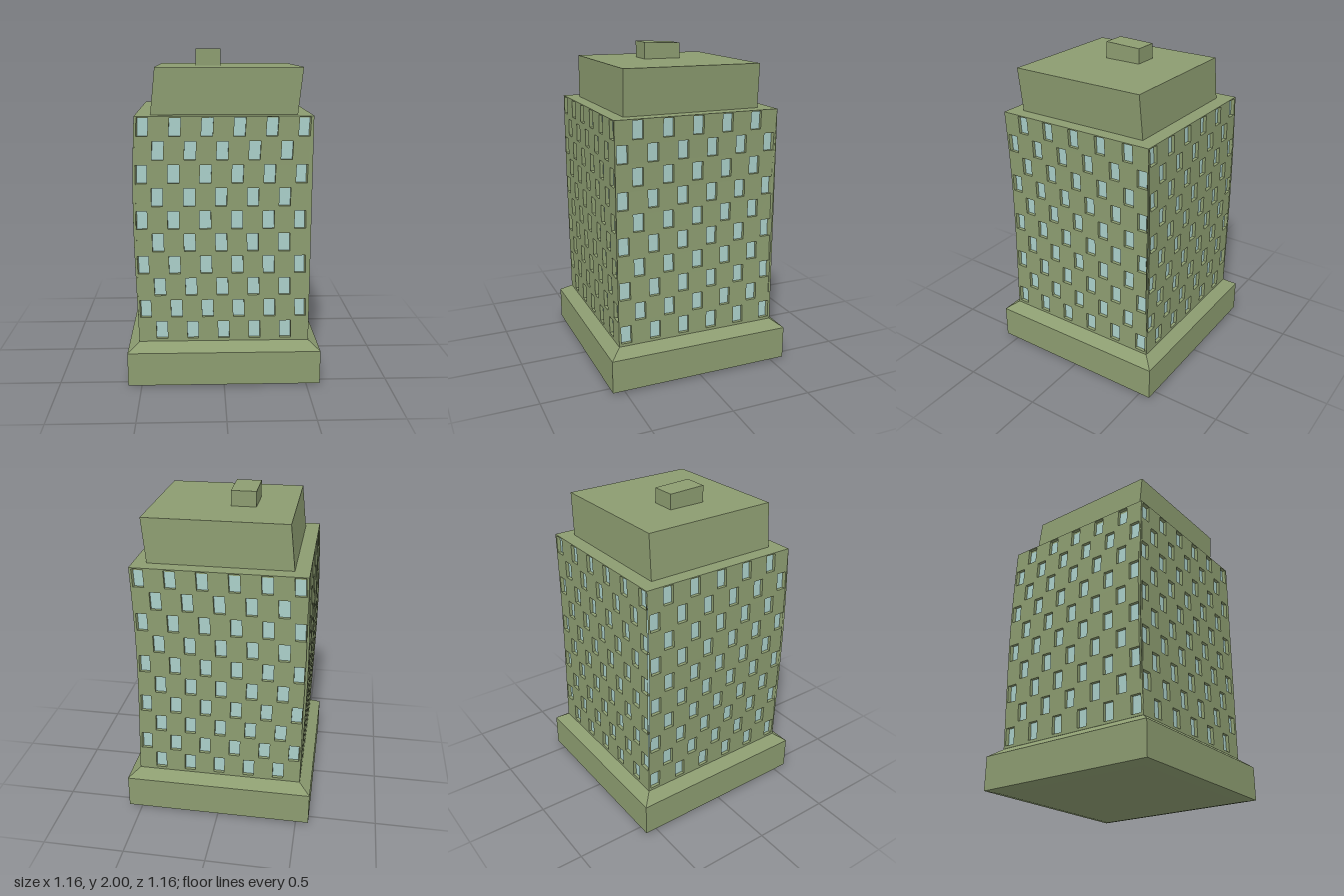
import * as THREE from 'three';

const stone = new THREE.MeshStandardMaterial({ color: 0x8c9c70 });
const blue = new THREE.MeshStandardMaterial({ color: 0xaacfc9 });

const Y0 = 0.27, Y1 = 1.63, HALF = 0.512, DEPTH = 0.02, ROWS = 10;

// Moves every vertex by a rule, then recomputes flat normals
function reshape(geometry, rule) {
  const g = geometry.index ? geometry.toNonIndexed() : geometry;
  const p = g.attributes.position, v = new THREE.Vector3();
  for (let i = 0; i < p.count; i++) {
    rule(v.fromBufferAttribute(p, i));
    p.setXYZ(i, v.x, v.y, v.z);
  }
  g.computeVertexNormals();
  return g;
}

// The tower bows gently sideways between base and terrace
function sway(v) {
  const t = THREE.MathUtils.clamp((v.y - Y0) / (Y1 - Y0), 0, 1);
  v.x -= 0.018 * Math.sin(Math.PI * Math.pow(t, 1.25));
  v.z += 0.006 * t * t;
}

function part(name, geometry, material = stone) {
  const mesh = new THREE.Mesh(geometry, material);
  mesh.name = name;
  return mesh;
}

// Block between a lower and an upper rectangle, each [xMin, xMax, zMin, zMax]
function block(low, high, y0, y1, backDrop = 0) {
  return reshape(new THREE.BoxGeometry(1, 1, 1), (v) => {
    const r = v.y > 0 ? high : low;
    const y = v.y > 0 ? y1 - (v.z < 0 ? backDrop : 0) : y0;
    v.set(v.x < 0 ? r[0] : r[1], y, v.z < 0 ? r[2] : r[3]);
  });
}

// Wall panel pierced by staggered windows; oddRows says which rows hold six
function wall(angle, sixOnOdd) {
  const outline = [];
  for (let i = 0; i <= 20; i++) outline.push(new THREE.Vector2(HALF, Y0 + (Y1 - Y0) * i / 20));
  for (let i = 20; i >= 0; i--) outline.push(new THREE.Vector2(-HALF, Y0 + (Y1 - Y0) * i / 20));
  const shape = new THREE.Shape(outline);
  for (let row = 0; row < ROWS; row++) {
    const count = (row % 2 === 1) === sixOnOdd ? 6 : 5;
    const y = 0.341 + row * 0.1364;
    for (let i = 0; i < count; i++) {
      const x = (i - (count - 1) / 2) * 0.186, w = 0.033, h = 0.054;
      shape.holes.push(new THREE.Path([
        new THREE.Vector2(x - w, y - h), new THREE.Vector2(x - w, y + h),
        new THREE.Vector2(x + w, y + h), new THREE.Vector2(x + w, y - h),
      ]));
    }
  }
  const g = new THREE.ExtrudeGeometry(shape, { depth: DEPTH, bevelEnabled: false });
  const inner = HALF - DEPTH, up = new THREE.Vector3(0, 1, 0);
  return reshape(g, (v) => {
    // mitre the rear edge so neighbouring walls meet at the corners
    if (v.z < DEPTH / 2) v.x = THREE.MathUtils.clamp(v.x, -inner, inner);
    v.z += inner;
    v.applyAxisAngle(up, angle);
    sway(v);
  });
}

export function createModel() {
  const model = new THREE.Group();
  model.name = 'towerBlock';

  // Plinth with sloped shoulder and chamfered underside
  const profile = [[0, 0], [0.515, 0], [0.58, 0.014], [0.58, 0.22], [0.51, Y0], [0, Y0]]
    .map(([r, y]) => new THREE.Vector2(r * Math.SQRT2, y));
  model.add(part('plinth', reshape(new THREE.LatheGeometry(profile, 4, Math.PI / 4), () => {})));

  // Four walls, the window stagger alternating from side to side
  const tower = new THREE.Group();
  tower.name = 'tower';
  ['frontWall', 'leftWall', 'backWall', 'rightWall'].forEach((name, i) => {
    tower.add(part(name, wall(i * Math.PI / 2, i % 2 === 0)));
  });

  // Glass core behind the window openings
  const inner = 2 * (HALF - DEPTH);
  const core = new THREE.BoxGeometry(inner, Y1 - Y0 - 0.02, inner, 1, 20, 1);
  core.translate(0, (Y0 + Y1) / 2, 0);
  tower.add(part('windowGlass', reshape(core, sway), blue));

  // Terrace closing the top of the walls
  const terrace = new THREE.BoxGeometry(inner, 0.02, inner);
  terrace.translate(0, Y1 - 0.01, 0);
  tower.add(part('terrace', reshape(terrace, sway)));
  model.add(tower);

  // Leaning penthouse and small rooftop hut
  model.add(part('penthouse',
    block([-0.424, 0.43, -0.416, 0.436], [-0.395, 0.458, -0.408, 0.442], Y1, 1.9, 0.004)));
  model.add(part('rooftopHut',
    block([-0.162, -0.01, -0.1, 0.134], [-0.162, -0.01, -0.1, 0.134], 1.89, 2, 0.01)));

  return model;
}
